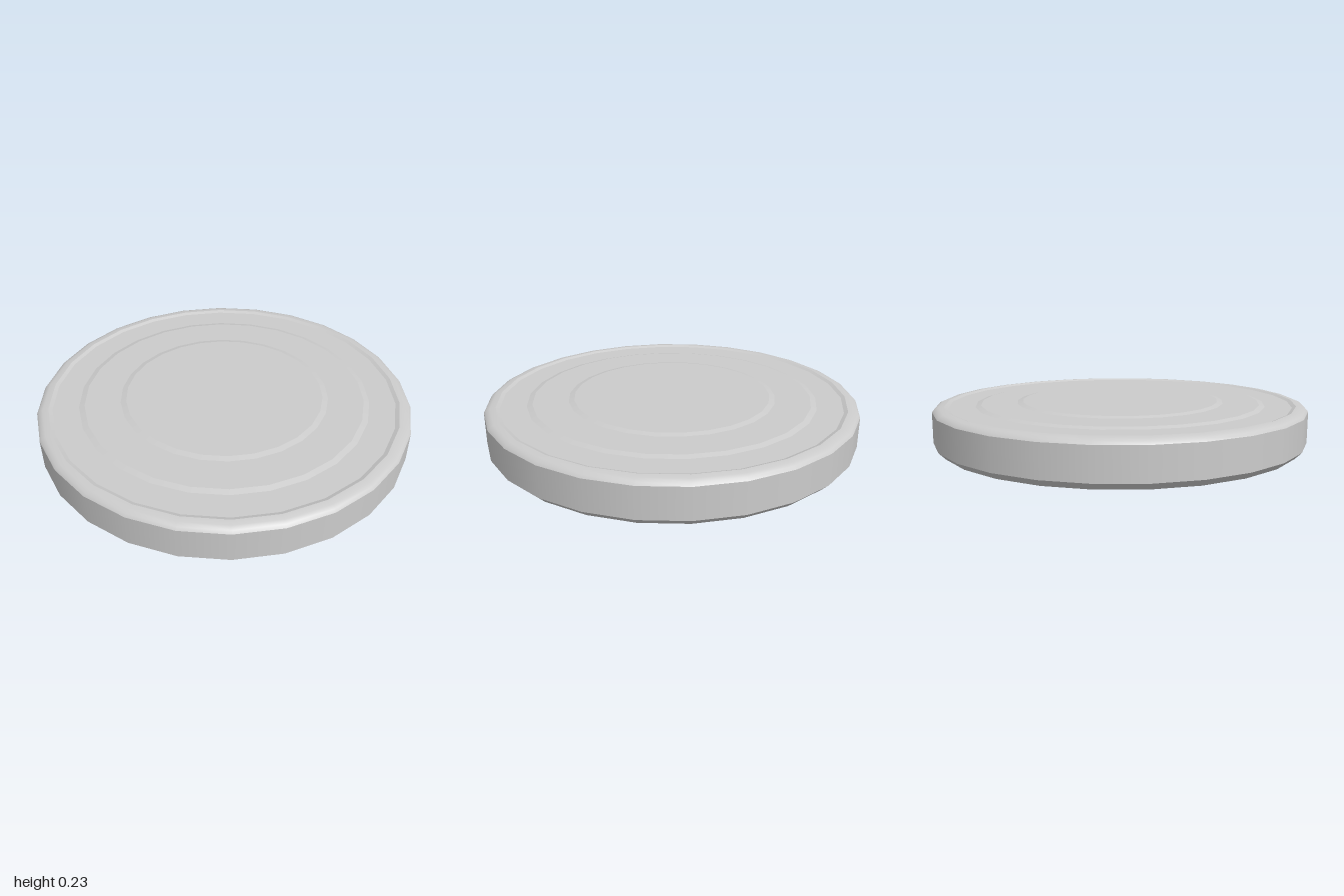
import * as THREE from 'three';

const SIDES = 26;

export function createModel() {
  const group = new THREE.Group();
  group.name = 'jarLid';
  const material = new THREE.MeshStandardMaterial({ color: 0xcccccc });

  // Each band is smooth in itself, with a hard edge to the next one.
  // Bands run from the underside centre outwards, up and back to the top centre.
  const band = (name, ...profile) => {
    const points = profile.map(([r, y]) => new THREE.Vector2(r, y));
    const mesh = new THREE.Mesh(new THREE.LatheGeometry(points, SIDES, Math.PI / 2), material);
    mesh.name = name;
    group.add(mesh);
  };

  // Shallow recess and rim underneath
  band('undersidePanel', [0, 0.02], [0.935, 0.02]);
  band('undersideWall', [0.935, 0.02], [0.935, 0]);
  band('undersideRim', [0.935, 0], [0.965, 0]);

  // Outer wall with its chamfer and rounded shoulder
  band('lowerChamfer', [0.965, 0], [1, 0.035]);
  band('sideWall', [1, 0.035], [1, 0.198]);
  band('shoulder', [1, 0.198], [0.989, 0.212], [0.968, 0.221], [0.938, 0.224]);

  // Top: groove inside the rim, then two raised steps to the middle
  band('rimSlope', [0.938, 0.224], [0.918, 0.216]);
  band('outerRing', [0.918, 0.216], [0.78, 0.216]);
  band('outerStep', [0.78, 0.216], [0.75, 0.224]);
  band('middleRing', [0.75, 0.224], [0.56, 0.224]);
  band('innerStep', [0.56, 0.224], [0.53, 0.231]);
  band('centrePanel', [0.53, 0.231], [0, 0.231]);

  return group;
}
